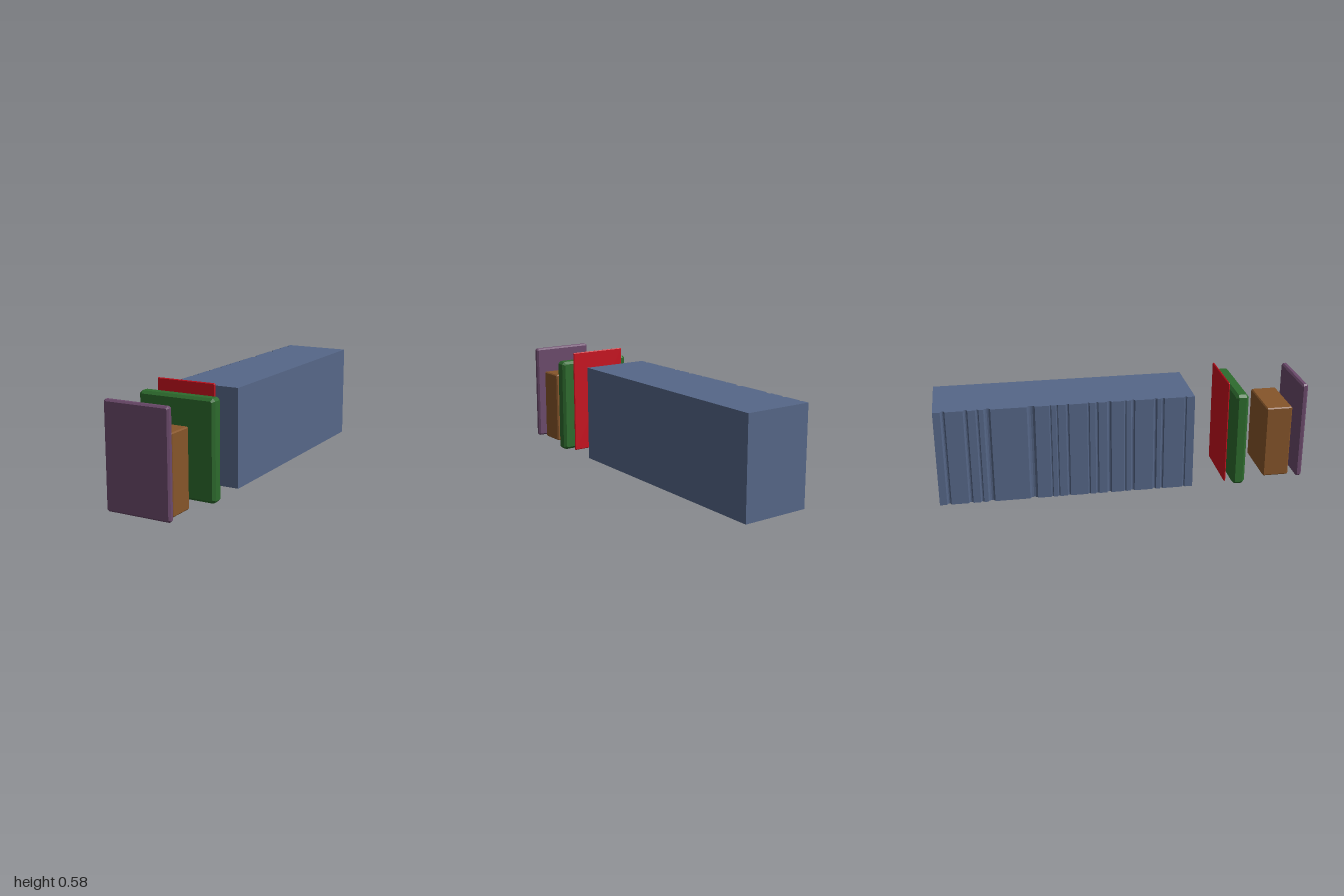
import * as THREE from 'three';

// Box with chamfered edges and clipped corners
function chamferedBox(name, color, width, y0, y1, z0, z1, c) {
  const x = width / 2;
  const outline = new THREE.Shape([
    [-x + c, y0], [x - c, y0], [x, y0 + c], [x, y1 - c],
    [x - c, y1], [-x + c, y1], [-x, y1 - c], [-x, y0 + c],
  ].map(([px, py]) => new THREE.Vector2(px, py)));
  const geometry = new THREE.ExtrudeGeometry(outline, {
    depth: z1 - z0 - 2 * c,
    bevelEnabled: true, bevelSegments: 1,
    bevelSize: c, bevelThickness: c, bevelOffset: -c,
  });
  geometry.translate(0, 0, z0 + c);
  const mesh = new THREE.Mesh(geometry, new THREE.MeshStandardMaterial({ color, flatShading: true }));
  mesh.name = name;
  return mesh;
}

// Long block with rounded upright grooves along its right side
function groovedBlock() {
  const x = 0.188, back = -1, front = 0.37, height = 0.53;
  // [z of groove, half width, depth]
  const grooves = [
    [-0.95, 0.012, 0.014], [-0.835, 0.012, 0.013], [-0.775, 0.009, 0.01], [-0.725, 0.018, 0.015],
    [-0.5, 0.021, 0.016], [-0.4, 0.006, 0.008], [-0.365, 0.006, 0.008], [-0.31, 0.009, 0.011],
    [-0.2, 0.007, 0.01], [-0.155, 0.009, 0.01], [-0.09, 0.012, 0.014], [-0.005, 0.007, 0.008],
    [0.037, 0.011, 0.012], [0.157, 0.01, 0.012], [0.197, 0.009, 0.01], [0.32, 0.007, 0.009],
  ];
  const plan = new THREE.Shape();
  plan.moveTo(-x, -front);
  plan.lineTo(x, -front);
  plan.lineTo(x, -back);
  plan.lineTo(-x, -back);
  for (const [z, half, depth] of grooves) {
    for (let i = 0; i <= 6; i++) {
      const a = (i / 6) * Math.PI;
      plan.lineTo(-x + depth * Math.sin(a), -(z - half * Math.cos(a)));
    }
  }
  plan.closePath();
  const geometry = new THREE.ExtrudeGeometry(plan, { depth: height, bevelEnabled: false });
  geometry.rotateX(-Math.PI / 2);
  const mesh = new THREE.Mesh(geometry, new THREE.MeshStandardMaterial({ color: 0x566788, flatShading: true }));
  mesh.name = 'groovedBlock';
  return mesh;
}

export function createModel() {
  const model = new THREE.Group();
  model.name = 'slabRow';
  model.add(
    chamferedBox('frontPanel', 0x6b4a6b, 0.36, 0.007, 0.555, 0.965, 1.0, 0.009),
    chamferedBox('brownBlock', 0x86552a, 0.304, 0.008, 0.417, 0.785, 0.93, 0.006),
    chamferedBox('greenSlab', 0x2d6b2d, 0.434, 0.003, 0.53, 0.59, 0.66, 0.014),
    chamferedBox('redSheet', 0xc8101e, 0.332, 0.001, 0.585, 0.555, 0.565, 0.004),
    groovedBlock(),
  );
  return model;
}
